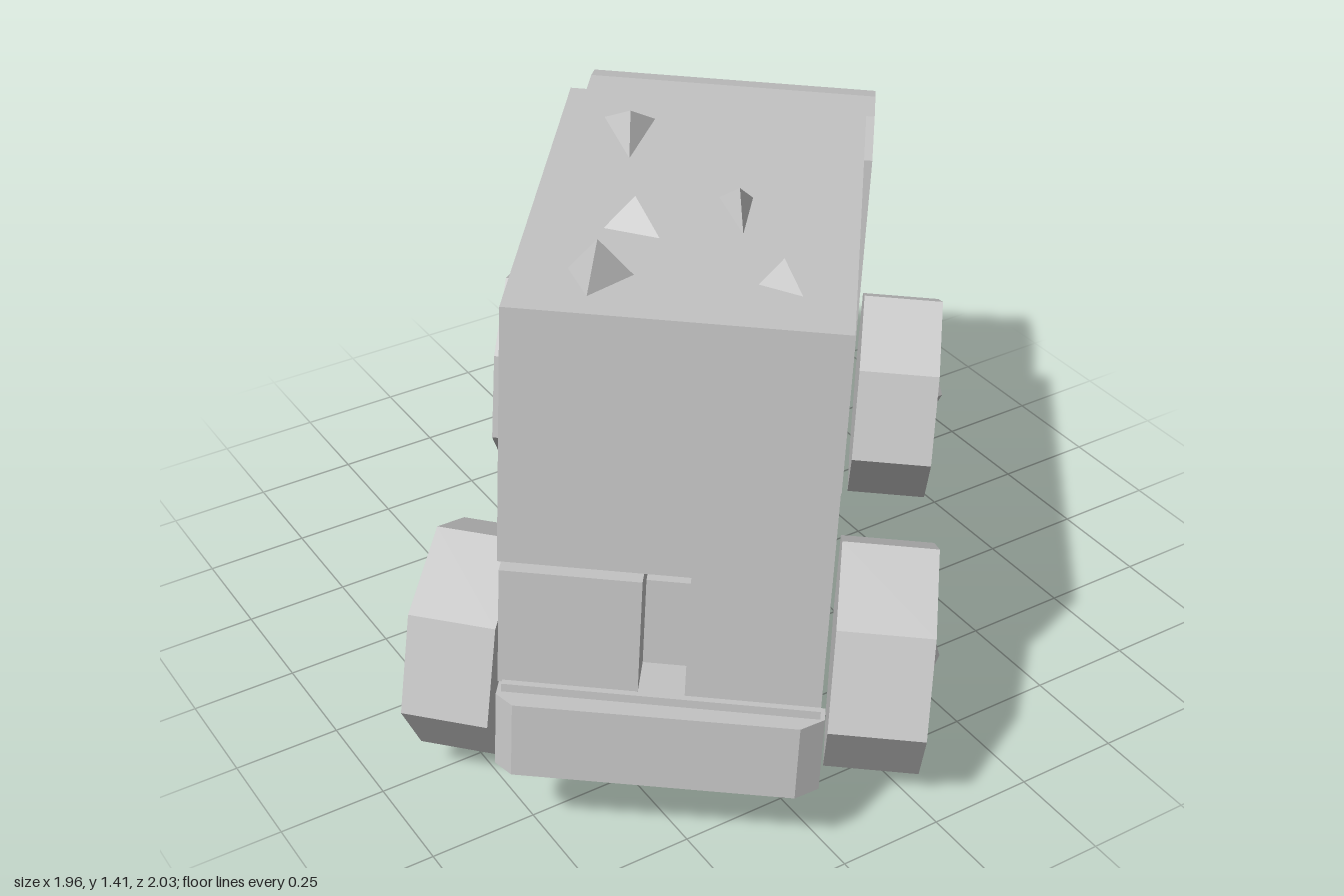
import * as THREE from 'three';

const grey = new THREE.MeshStandardMaterial({ color: 0xc6c6c6, flatShading: true });
grey.name = 'plain grey';

export function createModel() {
  const model = new THREE.Group();
  const truck = new THREE.Group();
  truck.name = 'truck';
  model.add(truck);

  const add = (name, geo) => {
    const m = new THREE.Mesh(geo, grey);
    m.name = name;
    truck.add(m);
    return m;
  };
  // Box given by its limits across, up and along (front is -z)
  const box = (name, x0, x1, y0, y1, z0, z1) =>
    add(name, new THREE.BoxGeometry(x1 - x0, y1 - y0, z1 - z0)
      .translate((x0 + x1) / 2, (y0 + y1) / 2, (z0 + z1) / 2));
  const extrude = (pts, depth, hole, steps = 1) => {
    const s = new THREE.Shape(pts.map(p => new THREE.Vector2(...p)));
    if (hole) s.holes.push(new THREE.Path(hole.map(p => new THREE.Vector2(...p))));
    return new THREE.ExtrudeGeometry(s, { depth, steps, bevelEnabled: false });
  };
  // Side profile [z, y] drawn out from x0 to x1
  const prism = (name, pts, x0, x1, hole) =>
    add(name, extrude(pts, x1 - x0, hole).rotateY(-Math.PI / 2).translate(x1, 0, 0));

  const L = -0.365, R = 0.345;

  // Chassis and rear bumper
  box('chassis', -0.36, 0.32, 0.195, 0.375, -0.75, 0.94);
  add('rearBumper', extrude([[-0.37, 0.9], [0.33, 0.9], [0.33, 0.94], [0.28, 0.98], [-0.33, 0.985], [-0.37, 0.95]], 0.185)
    .rotateX(Math.PI / 2).translate(0, 0.355, 0));

  // Cargo box and the lockers below it
  box('cargoBox', -0.372, 0.32, 0.685, 1.28, -0.16, 0.936);
  box('cargoBed', -0.34, 0.305, 0.58, 0.69, -0.15, 0.62);
  for (const [z0, z1] of [[-0.15, 0.18], [0.21, 0.58]]) box('sideLocker', -0.35, 0.3, 0.37, 0.565, z0, z1);
  box('lockerCore', -0.31, 0.26, 0.37, 0.59, -0.15, 0.82);
  box('rearLockerLeft', -0.37, -0.07, 0.37, 0.655, 0.62, 0.925);
  box('rearLockerRight', 0.03, 0.32, 0.37, 0.68, 0.62, 0.925);

  // Scraps lying on the cargo roof: x, z, radius, height, stretch, turn
  for (const [x, z, r, h, s, a] of [
    [-0.21, 0.06, 0.08, 0.06, 2.2, 0.1], [-0.15, 0.54, 0.07, 0.08, 1.2, 0.9],
    [-0.2, 0.79, 0.08, 0.1, 1.1, 2.0], [0.06, 0.42, 0.05, 0.06, 2.8, 0.15], [0.17, 0.75, 0.05, 0.07, 1.4, 0.8]]) {
    const scrap = add('roofScrap', new THREE.ConeGeometry(r, h, 3).translate(0, h / 2 - 0.01, 0));
    scrap.position.set(x, 1.28, z);
    scrap.rotation.y = a;
    scrap.scale.z = s;
  }

  // Lower cab: hollow plan with a bowed nose that runs back into the bonnet
  const cab = extrude(
    [[L, -0.2], [R, -0.2], [R, -0.78], [0.325, -0.94], [0.15, -0.98], [-0.17, -0.99], [-0.36, -0.96], [L, -0.78]],
    3, [[L + 0.03, -0.235], [R - 0.03, -0.235], [R - 0.03, -0.72], [L + 0.03, -0.72]], 3).rotateX(Math.PI / 2);
  const p = cab.attributes.position;
  for (let i = 0; i < p.count; i++) {
    const level = Math.round(p.getY(i) + 3), z = p.getZ(i);
    const nose = z < -0.9;
    p.setY(i, [nose ? 0.24 : 0.2, 0.5, 0.69, 0.776][level]);
    if (nose) p.setZ(i, [z, z - 0.003, -0.925 + (z + 0.94) * 0.5, -0.776][level]);
    else if (z < -0.75 && level === 3) p.setZ(i, -0.755);
  }
  add('cabLower', cab);

  // Cab side walls with window openings
  const side = [[-0.2, 0.77], [-0.2, 1.13], [-0.606, 1.143], [-0.776, 0.776], [-0.77, 0.77]];
  const sideWindow = [[-0.285, 0.795], [-0.665, 0.8], [-0.555, 1.05], [-0.285, 1.05]];
  prism('cabSideLeft', side, L, L + 0.03, sideWindow);
  prism('cabSideRight', side, R - 0.03, R, sideWindow);
  box('cabBack', L + 0.01, R - 0.01, 0.77, 1.13, -0.23, -0.2);
  prism('cabRoof', [[-0.2, 1.1], [-0.2, 1.135], [-0.4, 1.162], [-0.53, 1.16], [-0.607, 1.143], [-0.59, 1.1]], L, R);

  // Windscreen frame leaning back
  const frame = add('windscreenFrame', extrude(
    [[L, 0], [R, 0], [R, 0.4], [L, 0.4]], 0.03,
    [[L + 0.065, 0.03], [L + 0.075, 0.33], [R - 0.075, 0.33], [R - 0.065, 0.03]]));
  frame.position.set(0, 0.776, -0.776);
  frame.rotation.x = 0.434;

  // Rough seven-sided wheels: x inner, x outer, y, z, radius, turn, lean
  for (const [name, xi, xo, y, z, r, a, lean] of [
    ['rearRightWheel', 0.34, 0.555, 0.295, 0.59, 0.27, 0.15, 0],
    ['frontRightWheel', 0.365, 0.57, 0.3, -0.576, 0.278, 0.22, 0],
    ['rearLeftWheel', -0.555, -0.36, 0.278, 0.635, 0.265, 0.2, -0.13],
    ['frontLeftWheel', -0.575, -0.375, 0.3, -0.57, 0.268, 0.35, 0]]) {
    const wheel = add(name, new THREE.CylinderGeometry(r, r, xo - xi, 7).rotateY(a).rotateZ(-Math.PI / 2));
    wheel.position.set((xi + xo) / 2, y, z);
    wheel.rotation.y = lean;
    // Small three-sided hub on the right wheels
    if (xo > 0) {
      const hub = add('wheelHub', new THREE.ConeGeometry(0.11, 0.03, 3).rotateZ(-Math.PI / 2));
      hub.position.set(xo + 0.01, y, z);
      hub.rotation.x = z > 0 ? 0.6 : 0.2;
      hub.scale.z = z > 0 ? 0.7 : 0.2;
    }
  }

  // The truck stands diagonally and leans slightly
  truck.rotation.set(-0.04, -0.6435, -0.045, 'YXZ');
  return model;
}
